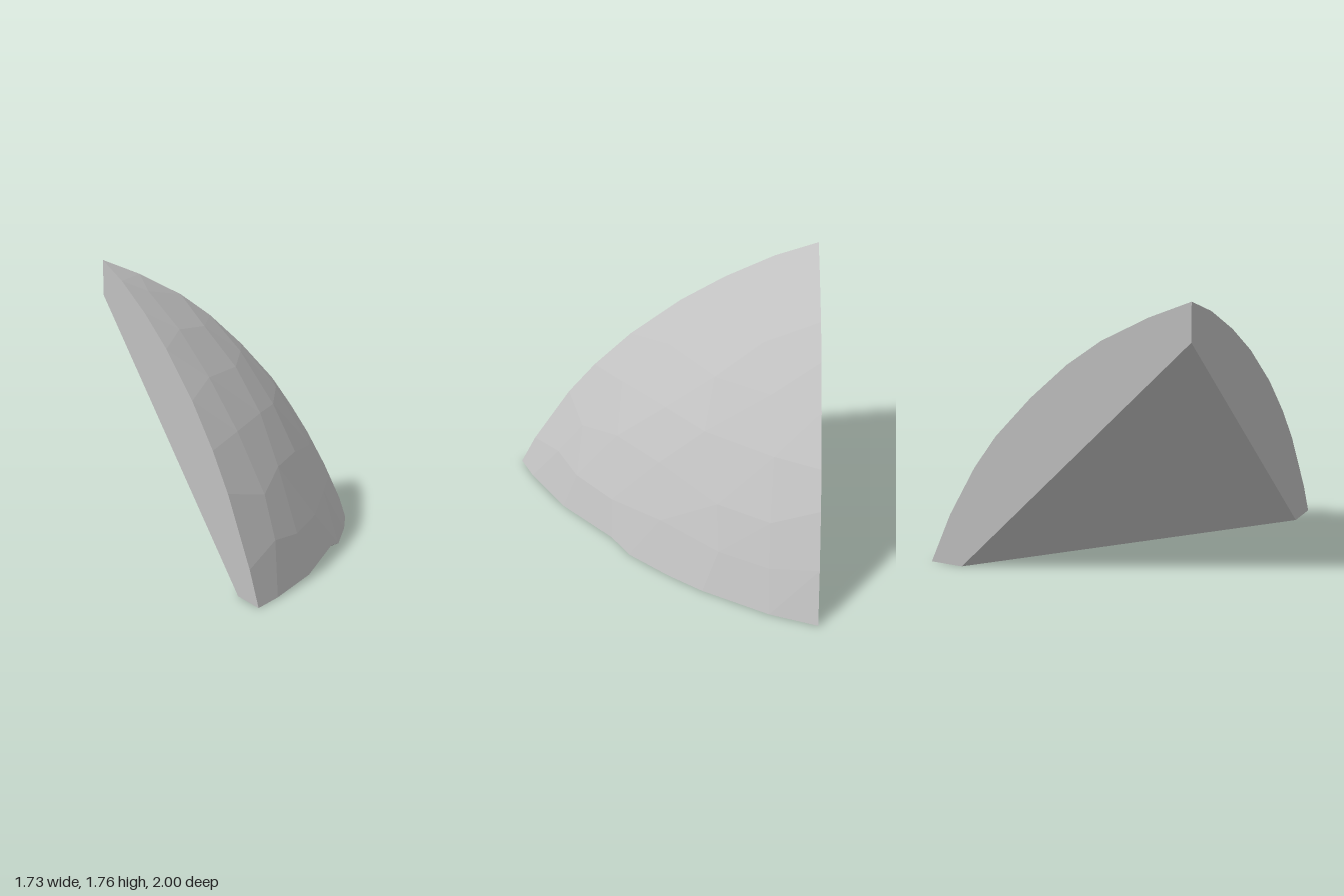
import * as THREE from 'three';

// Coordinates are measured from the square corner of the wedge.
const v = (x, y, z) => new THREE.Vector3(x, y, z);
const N = 8;
const INSIDE = v(0.7, 0.7, 0.7);

// Rims of the outer shell along the three flat walls
const backRim = [[0, 1.76], [0.26, 1.65], [0.56, 1.49], [0.78, 1.33], [1.02, 1.11],
  [1.26, 0.85], [1.41, 0.64], [1.59, 0.32], [1.73, 0]].map(([x, y]) => v(x, y, 0));
const sideRim = [[1.76, 0], [1.66, 0.28], [1.5, 0.6], [1.32, 0.89], [1.06, 1.22],
  [0.81, 1.47], [0.59, 1.65], [0.2, 1.9], [0, 2]].map(([y, z]) => v(0, y, z));
const baseRim = [[1.73, 0, 0], [1.63, 0, 0.3], [1.41, 0, 0.72], [1.26, 0, 0.94], [1.05, 0, 1.2],
  [0.92, 0.04, 1.32], [0.54, 0.012, 1.67], [0.18, 0.005, 1.91], [0, 0, 2]].map((p) => v(...p));

// Corners of the slanted inner cut
const cutX = v(1.515, 0, 0), cutY = v(0, 1.53, 0), cutZ = v(0, 0, 1.76);

let seed = 7;
function jitter() {
  seed = (seed * 16807) % 2147483647;
  return (seed / 2147483647 - 0.5) * 0.1;
}

// Pushes a direction out to the ellipsoid that the shell follows
function onShell(d) {
  const a = d.x * d.x + d.y * d.y + 0.7 * d.z * d.z;
  const b = 2.06 * d.x + 1.97 * d.y + 1.88 * d.z;
  return d.multiplyScalar((-b + Math.sqrt(b * b + 4 * a * 6.57)) / (2 * a));
}

// Shell point for row i (towards +x) and column k (towards +z)
function shellPoint(i, k) {
  const j = N - i - k;
  if (k === 0) return backRim[i];
  if (i === 0) return sideRim[k];
  if (j === 0) return baseRim[k];
  return onShell(v(1.73 * i / N + jitter(), 1.76 * j / N + jitter(), 2 * k / N + jitter()));
}

// Flat-shaded mesh from triangles, each turned to face out of the solid
function solidFace(name, triangles, material) {
  const points = [];
  for (const [a, b, c] of triangles) {
    const n = b.clone().sub(a).cross(c.clone().sub(a));
    const outward = n.dot(a.clone().sub(INSIDE)) > 0;
    points.push(...(outward ? [a, b, c] : [a, c, b]));
  }
  const geometry = new THREE.BufferGeometry().setFromPoints(points);
  geometry.translate(-0.865, 0, -1);
  geometry.computeVertexNormals();
  const mesh = new THREE.Mesh(geometry, material);
  mesh.name = name;
  return mesh;
}

// Triangles around the first point of a polygon
function fan(polygon) {
  const out = [];
  for (let i = 1; i < polygon.length - 1; i++) out.push([polygon[0], polygon[i], polygon[i + 1]]);
  return out;
}

export function createModel() {
  const group = new THREE.Group();
  group.name = 'shellFragment';
  const stone = new THREE.MeshStandardMaterial({ color: 0xc0c0c0, flatShading: true });
  stone.name = 'pale grey stone';

  // Faceted outer shell
  const grid = [];
  for (let i = 0; i <= N; i++) {
    grid.push([]);
    for (let k = 0; k <= N - i; k++) grid[i].push(shellPoint(i, k));
  }
  const shell = [];
  for (let i = 0; i < N; i++) {
    for (let k = 0; k < N - i; k++) {
      shell.push([grid[i][k], grid[i + 1][k], grid[i][k + 1]]);
      if (k < N - i - 1) shell.push([grid[i + 1][k], grid[i + 1][k + 1], grid[i][k + 1]]);
    }
  }
  group.add(solidFace('outerShell', shell, stone));

  // Shallow chip under the front of the shell, where the rim lifts off the base
  const footRim = baseRim.map((p) => v(p.x * (1 - p.y * 1.2), 0, p.z * (1 - p.y * 1.2)));
  const chip = [];
  for (let i = 0; i < N; i++) {
    if (baseRim[i].y > 0) chip.push([baseRim[i], baseRim[i + 1], footRim[i]]);
    if (baseRim[i + 1].y > 0) chip.push([baseRim[i + 1], footRim[i + 1], footRim[i]]);
  }
  group.add(solidFace('underChip', chip, stone));

  // Flat walls and the slanted inner cut
  group.add(solidFace('backWall', fan([cutY, ...backRim, cutX]), stone));
  group.add(solidFace('sideWall', fan([cutY, ...sideRim, cutZ]), stone));
  group.add(solidFace('base', fan([cutX, ...footRim, cutZ]), stone));
  group.add(solidFace('innerCut', [[cutX, cutY, cutZ]], stone));
  return group;
}
